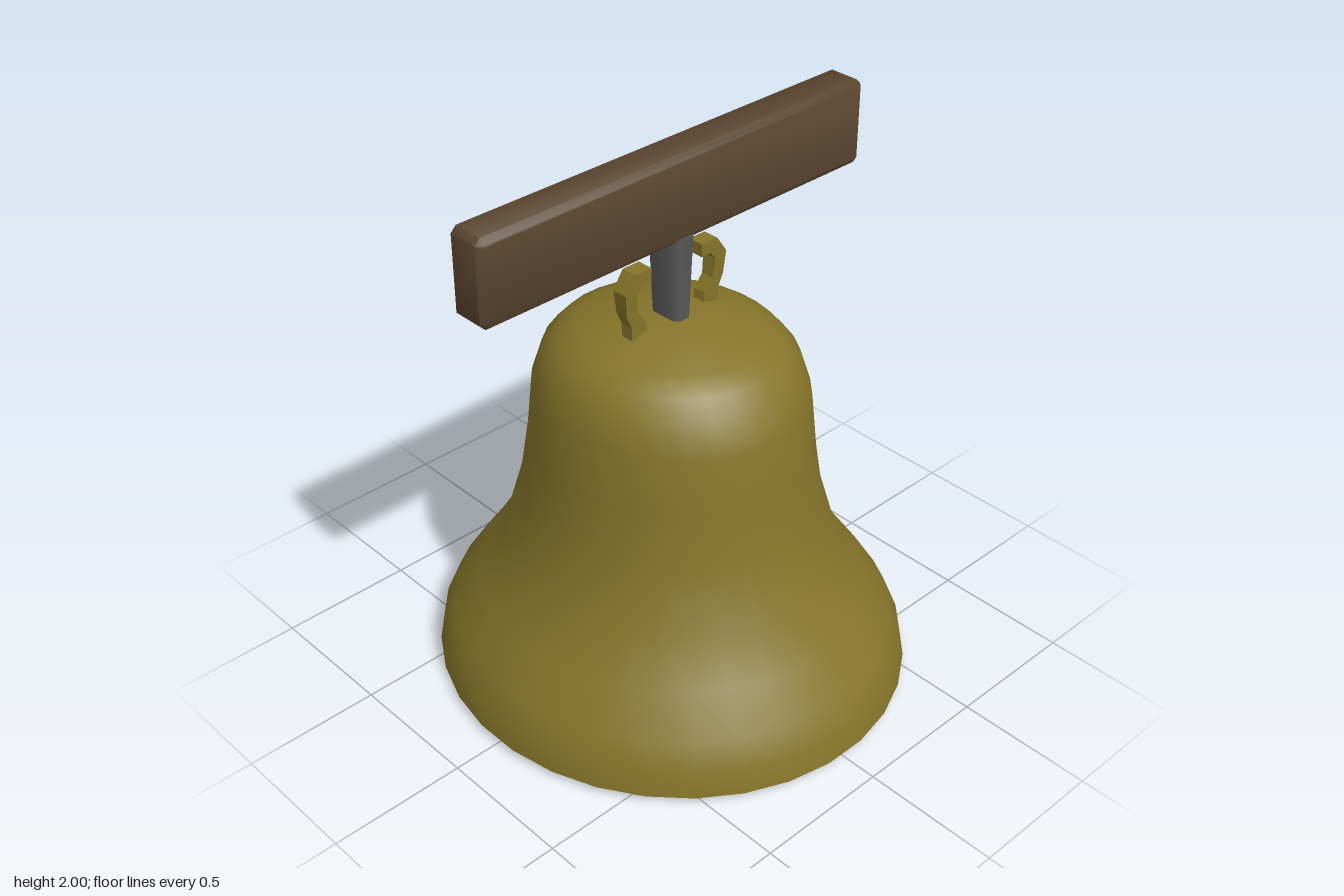
import * as THREE from 'three';
import { toCreasedNormals } from 'three/addons/utils/BufferGeometryUtils.js';

const material = (name, color) => {
  const m = new THREE.MeshStandardMaterial({ color });
  m.name = name;
  return m;
};

const part = (name, geometry, mat) => {
  const mesh = new THREE.Mesh(geometry, mat);
  mesh.name = name;
  return mesh;
};

const toPoints = (list) => list.map(([x, y]) => new THREE.Vector2(x, y));

// Hollow bell turned from one profile: down the inside, across the lip, up the outside
function bellGeometry() {
  const sides = 32;
  const lipRadius = 0.715;
  const inside = [
    [0, 1.29], [0.24, 1.26], [0.33, 1.18], [0.36, 1.08], [0.38, 0.9],
    [0.41, 0.72], [0.47, 0.5], [0.56, 0.34], [0.655, 0.2], [0.7, 0.1], [lipRadius, 0],
  ];
  const outside = [
    [0.828, 0.025], [0.812, 0.12], [0.768, 0.21], [0.673, 0.345], [0.568, 0.51],
    [0.504, 0.73], [0.474, 0.93], [0.454, 1.13], [0.417, 1.25], [0.367, 1.31],
    [0.3, 1.35], [0.12, 1.4], [0, 1.4],
  ];
  const geo = new THREE.LatheGeometry(toPoints([...inside, ...outside]), sides, Math.PI / sides);
  const pos = geo.attributes.position;
  const ring = inside.length + outside.length;
  for (let i = 0; i < pos.count; i++) {
    const x = pos.getX(i), z = pos.getZ(i);
    const r = Math.hypot(x, z);
    const row = i % ring;
    // the outside is slightly deeper than wide, the hollow is round
    if (row >= inside.length && r > 0.001) pos.setZ(i, z * (1 + Math.min(0.047, r * 0.095) / r));
    // the inner lip dips towards the left and right
    if (row === inside.length - 1) pos.setY(i, 0.024 * (1 - (x / lipRadius) ** 2));
  }
  return toCreasedNormals(geo, 0.9);
}

// Curled loop on the crown, mirrored by side
function hookGeometry(side) {
  const outline = [
    [0.195, 1.38], [0.195, 1.43], [0.216, 1.475], [0.224, 1.56], [0.182, 1.622],
    [0.112, 1.622], [0.112, 1.575], [0.154, 1.575], [0.177, 1.545],
    [0.167, 1.475], [0.132, 1.43], [0.123, 1.385],
  ].map(([x, y]) => [x * side, y]);
  const geo = new THREE.ExtrudeGeometry(new THREE.Shape(toPoints(outline)), { depth: 0.06, bevelEnabled: false });
  geo.translate(0, 0, -0.03);
  const pos = geo.attributes.position;
  for (let i = 0; i < pos.count; i++) {
    if (pos.getY(i) < 1.5) pos.setZ(i, pos.getZ(i) * 0.82);
  }
  return toCreasedNormals(geo, 0.4);
}

// Chamfered iron post, narrowing towards the bell
function postGeometry() {
  const plan = [[0.026, 0.078], [0.045, 0.055], [0.045, -0.055], [0.026, -0.078],
    [-0.026, -0.078], [-0.045, -0.055], [-0.045, 0.055], [-0.026, 0.078]];
  const geo = new THREE.ExtrudeGeometry(new THREE.Shape(toPoints(plan)), { depth: 0.34, bevelEnabled: false });
  geo.rotateX(-Math.PI / 2).translate(0, 1.37, 0);
  const pos = geo.attributes.position;
  for (let i = 0; i < pos.count; i++) {
    if (pos.getY(i) > 1.5) continue;
    pos.setX(i, pos.getX(i) * 0.78);
    pos.setZ(i, pos.getZ(i) * 0.82);
  }
  return toCreasedNormals(geo, 1);
}

// Timber beam with softened edges
function beamGeometry() {
  const b = 0.018, w = 0.822, low = 1.692, high = 2, halfDepth = 0.073;
  const c = 0.01;
  const x = w - b, y0 = low + b, y1 = high - b;
  const outline = [[-x + c, y0], [x - c, y0], [x, y0 + c], [x, y1 - c],
    [x - c, y1], [-x + c, y1], [-x, y1 - c], [-x, y0 + c]];
  const geo = new THREE.ExtrudeGeometry(new THREE.Shape(toPoints(outline)), {
    depth: 2 * (halfDepth - b), bevelThickness: b, bevelSize: b, bevelSegments: 1,
  });
  geo.translate(0, 0, -(halfDepth - b));
  return toCreasedNormals(geo, 0.9);
}

export function createModel() {
  const bronze = material('bronze', 0x86752a);
  const wood = material('wood', 0x5b4630);
  const iron = material('iron', 0x5a5a5c);

  const model = new THREE.Group();
  model.name = 'hangingBell';
  model.add(
    part('bell', bellGeometry(), bronze),
    part('leftHook', hookGeometry(1), bronze),
    part('rightHook', hookGeometry(-1), bronze),
    part('post', postGeometry(), iron),
    part('beam', beamGeometry(), wood),
  );
  return model;
}
